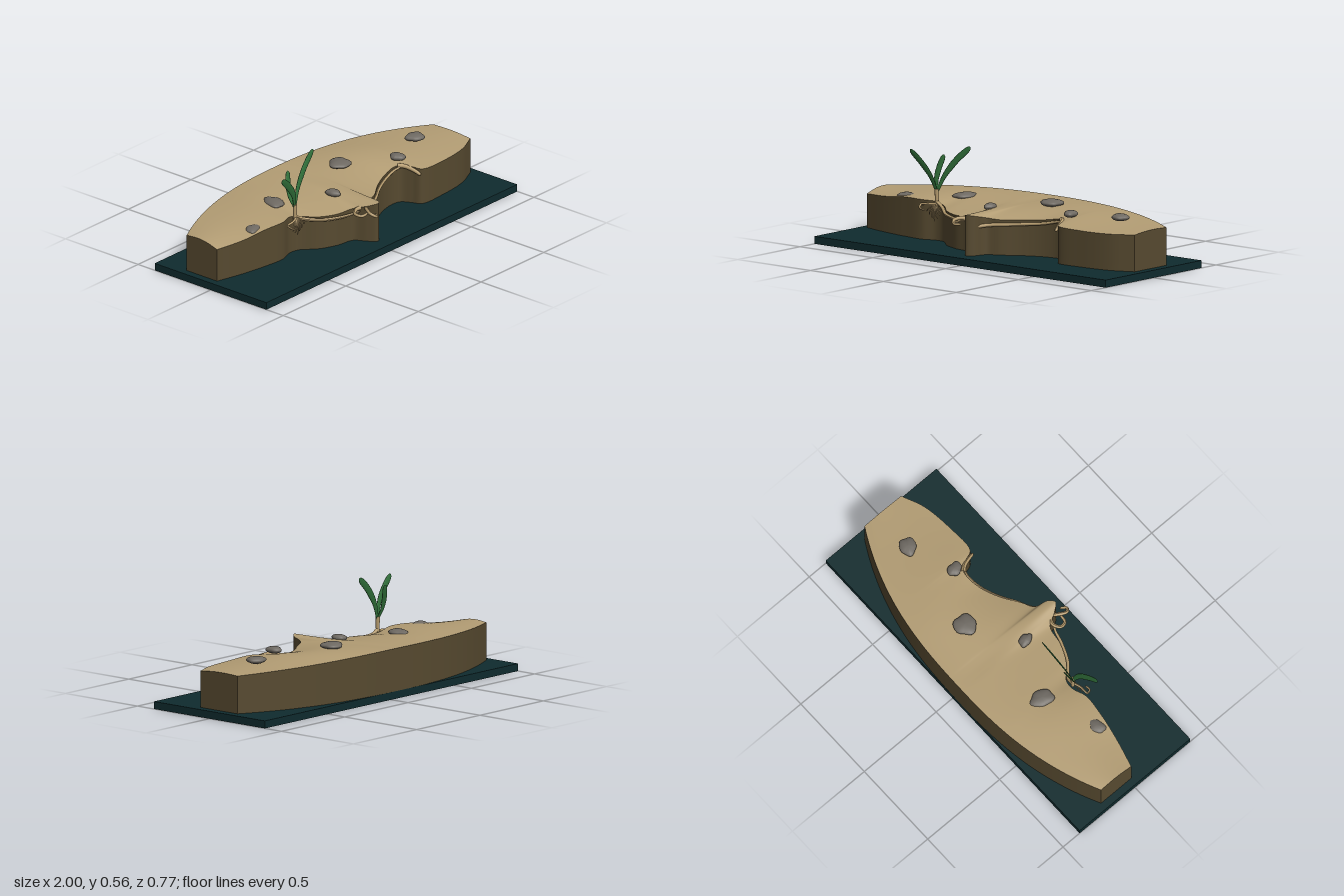
import * as THREE from 'three';

const mat = (name, color, side = THREE.FrontSide) => {
  const m = new THREE.MeshStandardMaterial({ color, side });
  m.name = name;
  return m;
};
const V = (p) => new THREE.Vector3(...p);
const curveOf = (pts) => new THREE.CatmullRomCurve3(pts.map(V));

// smooth surface from a point function of u and v
function surface(point, nu, nv) {
  const pos = [], index = [];
  for (let j = 0; j <= nv; j++)
    for (let i = 0; i <= nu; i++) pos.push(...point(i / nu, j / nv));
  for (let j = 0; j < nv; j++)
    for (let i = 0; i < nu; i++) {
      const a = j * (nu + 1) + i, d = a + nu + 1;
      index.push(a, a + 1, d + 1, a, d + 1, d);
    }
  const g = new THREE.BufferGeometry();
  g.setAttribute('position', new THREE.Float32BufferAttribute(pos, 3));
  g.setIndex(index);
  g.computeVertexNormals();
  return g;
}

// tube whose radius follows radius(t)
function taperedTube(pts, radius, segs = 28, sides = 10) {
  const curve = curveOf(pts);
  const g = new THREE.TubeGeometry(curve, segs, 1, sides, false);
  const p = g.attributes.position, v = new THREE.Vector3();
  for (let i = 0; i < p.count; i++) {
    const t = Math.floor(i / (sides + 1)) / segs, c = curve.getPointAt(t);
    v.fromBufferAttribute(p, i).sub(c).multiplyScalar(radius(t)).add(c);
    p.setXYZ(i, v.x, v.y, v.z);
  }
  g.computeVertexNormals();
  return g;
}

// front rim of the bank: x, y, z
const FRONT = curveOf([
  [-0.96, 0.22, 0.01], [-0.8, 0.23, 0.05], [-0.65, 0.248, 0.075], [-0.52, 0.25, 0.085],
  [-0.44, 0.245, 0.06], [-0.38, 0.232, 0.07], [-0.3, 0.222, 0.14], [-0.2, 0.218, 0.185],
  [-0.1, 0.222, 0.205], [-0.06, 0.24, 0.27], [-0.025, 0.255, 0.31], [0.01, 0.25, 0.285],
  [0.035, 0.235, 0.215], [0.1, 0.227, 0.18], [0.2, 0.228, 0.115], [0.3, 0.235, 0.072],
  [0.39, 0.248, 0.058], [0.435, 0.25, 0.07], [0.465, 0.245, 0.12], [0.49, 0.238, 0.17],
  [0.65, 0.232, 0.175], [0.83, 0.232, 0.152], [0.955, 0.235, 0.1],
]);
const FLOOR = 0.04;
const bump = (x, c, w) => Math.exp(-(((x - c) / w) ** 2));
const backZ = (x) => x < -0.08
  ? -0.385 + 0.185 * ((-0.08 - x) / 0.88) ** 2.4
  : -0.385 + 0.23 * ((x + 0.08) / 1.035) ** 2.6;
const backY = (x) => 0.238 + 0.03 * Math.max(0, 1 - x * x);
const crestY = (x) => 0.243 + 0.024 * bump(x, -0.5, 0.3) + 0.03 * bump(x, 0.38, 0.32) + 0.01 * bump(x, 0, 0.3);

function topPoint(u, v) {
  const f = FRONT.getPoint(u), bz = backZ(f.x), by = backY(f.x);
  const y = f.y + (by - f.y) * v + (crestY(f.x) - (f.y + by) / 2) * Math.sin(Math.PI * v);
  return [f.x, y, f.z + (bz - f.z) * v];
}

export function createModel() {
  const group = new THREE.Group();
  const base = mat('dark teal base', 0x0f2b2e);
  const sand = mat('sandy top', 0xb39d74);
  const earth = mat('brown earth', 0x574a30);
  const stone = mat('grey stone', 0x6e6962);
  const leafGreen = mat('leaf green', 0x31703a, THREE.DoubleSide);
  const rootTan = mat('root tan', 0xb59b6e, THREE.DoubleSide);

  const add = (name, geometry, material) => {
    const m = new THREE.Mesh(geometry, material);
    m.name = name;
    group.add(m);
    return m;
  };

  // base plate
  add('basePlate', new THREE.BoxGeometry(2, 0.04, 0.77), base).position.y = 0.02;

  // bank: curved top and four upright sides
  add('bankTop', surface(topPoint, 176, 24), sand);
  const wall = (name, edge, n) => add(name, surface((u, v) => {
    const [x, y, z] = edge(u);
    return [x, FLOOR + (y - FLOOR) * v, z];
  }, n, 4), earth);
  wall('bankFront', (u) => topPoint(u, 0), 176);
  wall('bankBack', (u) => topPoint(1 - u, 1), 176);
  wall('bankLeftEnd', (u) => topPoint(1, u), 24);
  wall('bankRightEnd', (u) => topPoint(0, 1 - u), 24);

  // flat stones: x, y, z, half sizes in x and z, turn
  const stones = [
    [-0.68, 0.243, 0.015, 0.05, 0.037, 0.3], [-0.38, 0.262, -0.1, 0.047, 0.066, -0.3],
    [-0.08, 0.26, 0.05, 0.03, 0.042, 0.2], [0.185, 0.285, -0.135, 0.062, 0.058, 0.6],
    [0.455, 0.28, 0.03, 0.034, 0.044, 0.2], [0.71, 0.278, -0.07, 0.052, 0.045, -0.5],
  ];
  stones.forEach(([x, y, z, rx, rz, turn], k) => {
    const g = new THREE.SphereGeometry(1, 24, 14), p = g.attributes.position;
    for (let i = 0; i < p.count; i++) {
      const a = Math.atan2(p.getZ(i), p.getX(i));
      const s = 1 + 0.07 * Math.sin(3 * a + k) + 0.05 * Math.cos(5 * a + 2 * k);
      p.setXYZ(i, p.getX(i) * s, p.getY(i), p.getZ(i) * s);
    }
    g.scale(rx, 0.019, rz);
    g.computeVertexNormals();
    const m = add('stone', g, stone);
    m.position.set(x, y, z);
    m.rotation.y = turn;
  });

  // plant: stem and three flat leaves
  const px = -0.42, pz = 0.08;
  const stem = add('stem', new THREE.CylinderGeometry(0.012, 0.009, 0.1, 14), rootTan);
  stem.position.set(px, 0.266, pz);
  const leafRadius = (t) => (0.009 + 0.01 * Math.min(1, t * 2)) * Math.sqrt(Math.max(0.0004, 1 - t ** 14));
  const leaves = [
    [[[0, 0.3], [-0.03, 0.385], [-0.085, 0.455], [-0.15, 0.515]], 0.19],
    [[[0, 0.3], [-0.018, 0.36], [-0.014, 0.425], [0.005, 0.492]], -0.28],
    [[[0, 0.3], [0.04, 0.39], [0.11, 0.48], [0.195, 0.555]], -0.17],
  ];
  for (const [path, lean] of leaves) {
    const g = taperedTube(path.map(([x, y]) => [x, y, 0]), leafRadius, 40, 12);
    const p = g.attributes.position;
    for (let i = 0; i < p.count; i++)
      p.setZ(i, p.getZ(i) * 0.2 + lean * (p.getY(i) - 0.3));
    g.computeVertexNormals();
    add('leaf', g, leafGreen).position.set(px, 0, pz);
  }

  // long creeping roots
  const root = (name, pts, r) => add(name,
    taperedTube(pts, (t) => r * (1 - 0.3 * t) * Math.sqrt(Math.max(0.001, 1 - t ** 20)), 48), rootTan);
  root('creepingRoot', [[px, 0.25, 0.08], [-0.38, 0.225, 0.085], [-0.3, 0.207, 0.15],
    [-0.2, 0.2, 0.195], [-0.13, 0.2, 0.215], [-0.08, 0.21, 0.24]], 0.01);
  root('creepingRoot', [[0.0, 0.19, 0.27], [0.05, 0.197, 0.21], [0.12, 0.202, 0.172],
    [0.2, 0.207, 0.123], [0.3, 0.216, 0.08], [0.39, 0.234, 0.066], [0.44, 0.245, 0.08]], 0.01);
  root('stepRoot', [[0.42, 0.25, 0.06], [0.445, 0.245, 0.09], [0.463, 0.23, 0.135], [0.475, 0.21, 0.175]], 0.013);

  // curled root ends beside the point of the bank
  root('curledRoot', [[-0.05, 0.225, 0.24], [-0.1, 0.222, 0.225], [-0.135, 0.215, 0.25],
    [-0.125, 0.21, 0.285], [-0.08, 0.215, 0.29]], 0.011);
  root('curledRoot', [[-0.05, 0.22, 0.25], [-0.08, 0.23, 0.285], [-0.095, 0.222, 0.325],
    [-0.075, 0.208, 0.342], [-0.05, 0.205, 0.315]], 0.011);

  // fine roots fanning out below the stem
  for (let i = 0; i < 7; i++) {
    const s = (i - 3) / 3, drop = 0.09 - 0.05 * Math.abs(s);
    root('fineRoot', [[px, 0.24, 0.085], [px + s * 0.025, 0.235 - drop * 0.3, 0.1],
      [px + s * 0.04, 0.235 - drop * 0.65, 0.105], [px + s * 0.055, 0.235 - drop, 0.095]], 0.004);
  }
  root('fineRootLoop', [[px, 0.24, 0.085], [-0.46, 0.235, 0.1], [-0.505, 0.23, 0.105],
    [-0.495, 0.215, 0.13], [-0.46, 0.205, 0.13]], 0.007);
  return group;
}
